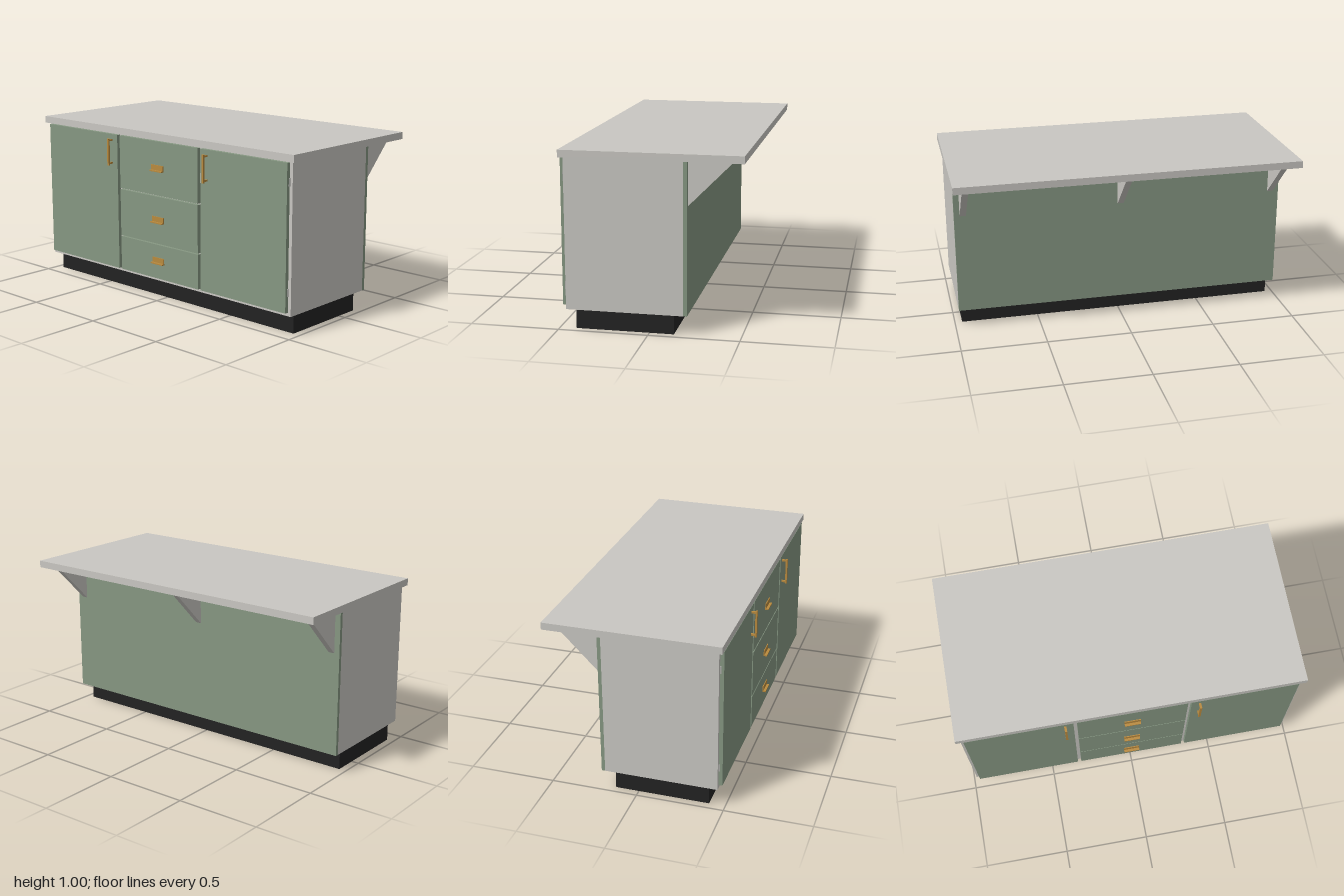
import * as THREE from 'three';

export function createModel() {
  const model = new THREE.Group();
  model.name = 'kitchenIsland';

  const mat = (name, color) => {
    const m = new THREE.MeshStandardMaterial({ color });
    m.name = name;
    return m;
  };
  const stone = mat('warm grey', 0xc9c7c2);
  const green = mat('sage green', 0x869782);
  const black = mat('plinth black', 0x222222);
  const brass = mat('brass', 0xb98a3e);
  const steel = mat('hinge grey', 0xa9aaa6);

  // Box given by its limits on each axis
  const box = (name, m, [x0, x1], [y0, y1], [z0, z1], parent = model) => {
    const mesh = new THREE.Mesh(new THREE.BoxGeometry(x1 - x0, y1 - y0, z1 - z0), m);
    mesh.position.set((x0 + x1) / 2, (y0 + y1) / 2, (z0 + z1) / 2);
    mesh.name = name;
    parent.add(mesh);
    return mesh;
  };
  const group = (name) => {
    const g = new THREE.Group();
    g.name = name;
    model.add(g);
    return g;
  };

  // Main masses
  box('countertop', stone, [-1, 1], [0.954, 0.995], [-0.515, 0.483]);
  box('carcass', stone, [-0.977, 0.977], [0.111, 0.954], [-0.19, 0.46]);
  box('backPanel', green, [-0.977, 0.977], [0.111, 0.954], [-0.21, -0.19]);
  box('plinth', black, [-0.957, 0.957], [0, 0.111], [-0.135, 0.408]);

  // Doors with bar handles and hinges
  const front = 0.482;
  for (const side of [-1, 1]) {
    const g = group(side > 0 ? 'leftDoor' : 'rightDoor');
    const span = (a, b) => [side * a, side * b].sort((p, q) => p - q);
    box('doorPanel', green, span(0.338, 0.957), [0.131, 0.948], [0.46, front], g);
    const hx = span(0.379, 0.392);
    box('handleBar', brass, hx, [0.764, 0.924], [0.505, 0.516], g);
    for (const y of [0.776, 0.914]) {
      box('handlePost', brass, hx, [y - 0.005, y + 0.005], [front, 0.506], g);
    }
    for (const y of [0.243, 0.843]) {
      box('hinge', steel, span(0.954, 0.961), [y - 0.022, y + 0.022], [0.46, 0.468], g);
    }
  }

  // Drawers with angled edge pulls: [bottom, top, height of pull]
  const drawers = [[0.131, 0.336, 0.222], [0.343, 0.624, 0.468], [0.632, 0.948, 0.774]];
  for (const [y0, y1, pull] of drawers) {
    const g = group('drawer');
    box('drawerFront', green, [-0.317, 0.317], [y0, y1], [0.46, front], g);
    box('pullPlate', brass, [-0.047, 0.047], [pull, pull + 0.037], [front, 0.487], g);
    box('pullLip', brass, [-0.047, 0.047], [pull, pull + 0.007], [0.487, 0.502], g);
  }

  // Triangular brackets under the overhang
  const profile = new THREE.Shape();
  profile.moveTo(0.21, 0.954);
  profile.lineTo(0.21, 0.709);
  profile.lineTo(0.453, 0.954);
  profile.closePath();
  const thick = 0.036;
  const bracketGeo = new THREE.ExtrudeGeometry(profile, { depth: thick, bevelEnabled: false });
  bracketGeo.translate(0, 0, -thick / 2);
  bracketGeo.rotateY(Math.PI / 2);
  for (const x of [-0.926, 0, 0.926]) {
    const bracket = new THREE.Mesh(bracketGeo, stone);
    bracket.position.x = x;
    bracket.name = 'bracket';
    model.add(bracket);
  }

  return model;
}
